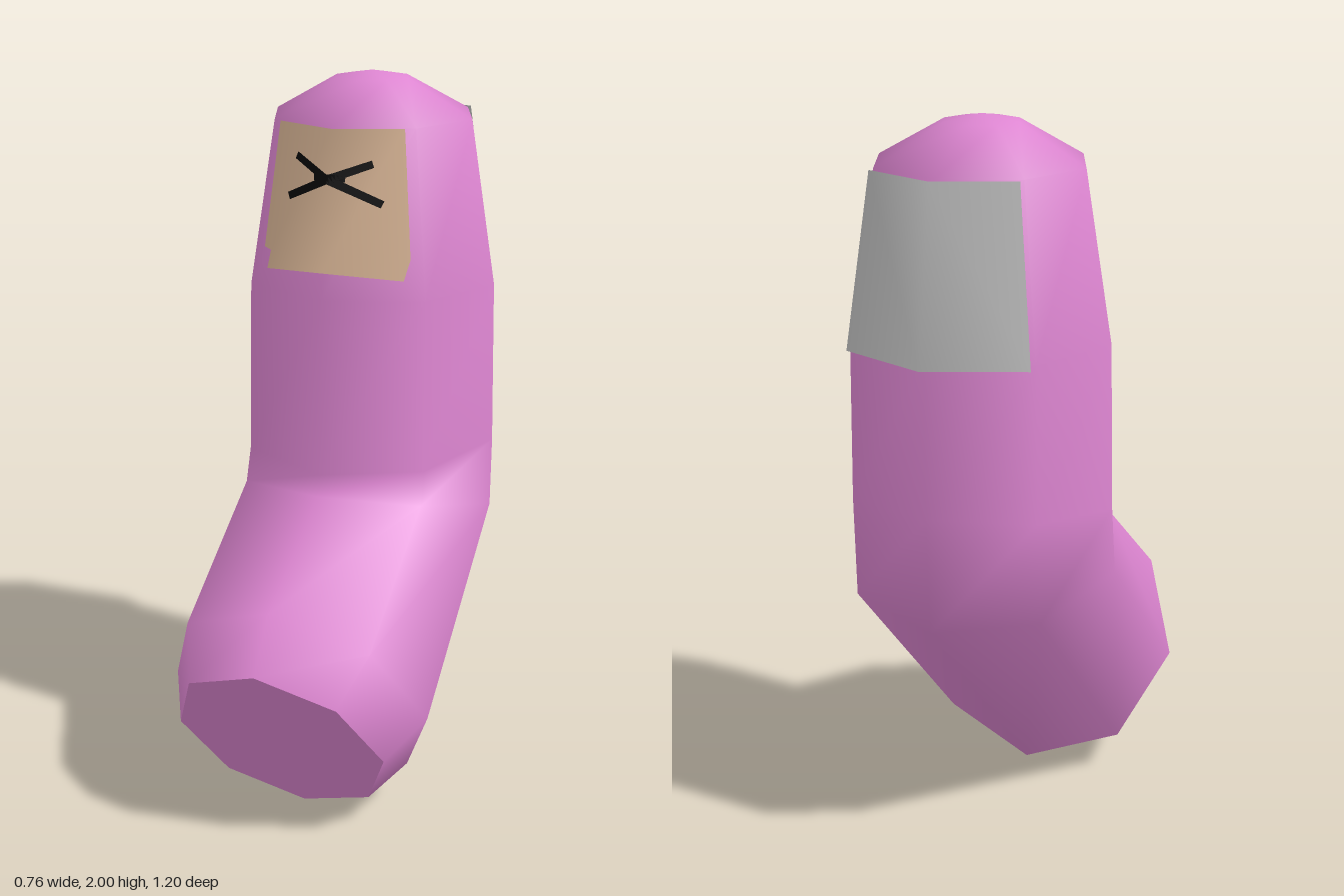
import * as THREE from 'three';

const SIDES = 8;

function makeGeometry(points, index) {
  const g = new THREE.BufferGeometry();
  g.setAttribute('position', new THREE.Float32BufferAttribute(points, 3));
  g.setIndex(index);
  g.computeVertexNormals();
  return g;
}

// Eight-sided ring given by its front point, back point (z, y) and half width.
function ring([fz, fy, bz, by, w]) {
  const out = [];
  for (let j = 0; j < SIDES; j++) {
    const a = (j / SIDES) * Math.PI * 2, c = Math.cos(a);
    out.push(w * Math.sin(a), (fy + by) / 2 + c * (fy - by) / 2, (fz + bz) / 2 + c * (fz - bz) / 2);
  }
  return out;
}

// Sheet folded along x = 0; each row is [half width, centre y, centre z, corner y, corner z].
function foldedSheet(rows) {
  const p = rows.flatMap(([w, cy, cz, ey, ez]) => [-w, ey, ez, 0, cy, cz, w, ey, ez]);
  return makeGeometry(p, [0, 1, 4, 0, 4, 3, 1, 2, 5, 1, 5, 4]);
}

export function createModel() {
  const pink = new THREE.MeshStandardMaterial({ color: 0xde86d2 });
  pink.name = 'pink';
  const tan = new THREE.MeshStandardMaterial({ color: 0xdcb898, side: THREE.DoubleSide });
  tan.name = 'tan';
  const grey = new THREE.MeshStandardMaterial({ color: 0xc0c0c0, side: THREE.DoubleSide });
  grey.name = 'grey';
  const black = new THREE.MeshStandardMaterial({ color: 0x080808, side: THREE.DoubleSide });
  black.name = 'black';

  const model = new THREE.Group();
  const add = (name, geometry, material) => {
    const mesh = new THREE.Mesh(geometry, material);
    mesh.name = name;
    model.add(mesh);
  };

  // Bent body: front z, front y, back z, back y, half width, from the cut end up
  const sections = [
    [0.60, 0.52, 0.28, 0.0, 0.305],
    [0.51, 0.665, 0.11, 0.02, 0.38],
    [0.185, 0.885, -0.56, 0.70, 0.376],
    [0.16, 0.94, -0.575, 1.02, 0.372],
    [0.15, 1.43, -0.575, 1.43, 0.364],
    [0.075, 1.88, -0.503, 1.88, 0.29],
    [-0.10, 1.983, -0.31, 1.983, 0.105],
  ];
  const points = sections.flatMap(ring);
  const index = [];
  for (let i = 0; i < sections.length - 1; i++) {
    for (let j = 0; j < SIDES; j++) {
      const k = (j + 1) % SIDES, lo = i * SIDES, hi = lo + SIDES;
      index.push(lo + j, lo + k, hi + k, lo + j, hi + k, hi + j);
    }
  }
  // Rounded tip
  const apex = points.length / 3, last = apex - SIDES;
  points.push(0, 2, -0.205);
  for (let j = 0; j < SIDES; j++) index.push(last + j, last + (j + 1) % SIDES, apex);
  add('body', makeGeometry(points, index), pink);

  // Flat cut end
  const fan = [];
  for (let j = 1; j < SIDES - 1; j++) fan.push(0, j + 1, j);
  add('baseCap', makeGeometry(ring(sections[0]), fan), pink);

  // Front patch and back plate
  add('frontPatch', foldedSheet([
    [0.22, 1.505, 0.147, 1.48, 0.05],
    [0.18, 1.88, 0.081, 1.88, 0.006],
  ]), tan);
  add('backPlate', foldedSheet([
    [0.255, 1.42, -0.60, 1.42, -0.495],
    [0.205, 1.88, -0.53, 1.88, -0.444],
  ]), grey);

  // Crossed mark lying on the front patch
  const onPatch = (x, y) => [x, y, 0.153 - (y - 1.505) * 0.176 - Math.abs(x) * 0.425];
  const strokes = [[-0.11, 1.80], [0.11, 1.79], [-0.13, 1.69], [0.14, 1.685]];
  strokes.forEach(([x, y], n) => {
    const dx = x, dy = y - 1.75, len = Math.hypot(dx, dy);
    const nx = -dy / len * 0.01, ny = dx / len * 0.01;
    const p = [
      ...onPatch(0, 1.738), ...onPatch(0, 1.762),
      ...onPatch(x + nx, y + ny), ...onPatch(x - nx, y - ny),
    ];
    // Keep the wide edges on matching sides for left and right arms
    add('markArm' + (n + 1), makeGeometry(p, x > 0 ? [0, 3, 2, 0, 2, 1] : [0, 1, 3, 0, 3, 2]), black);
  });
  // Thick middle of the mark
  add('markCentre', foldedSheet([
    [0.045, 1.738, onPatch(0, 1.738)[2], 1.743, onPatch(0.045, 1.743)[2]],
    [0.045, 1.764, onPatch(0, 1.764)[2], 1.759, onPatch(0.045, 1.759)[2]],
  ]), black);

  return model;
}
